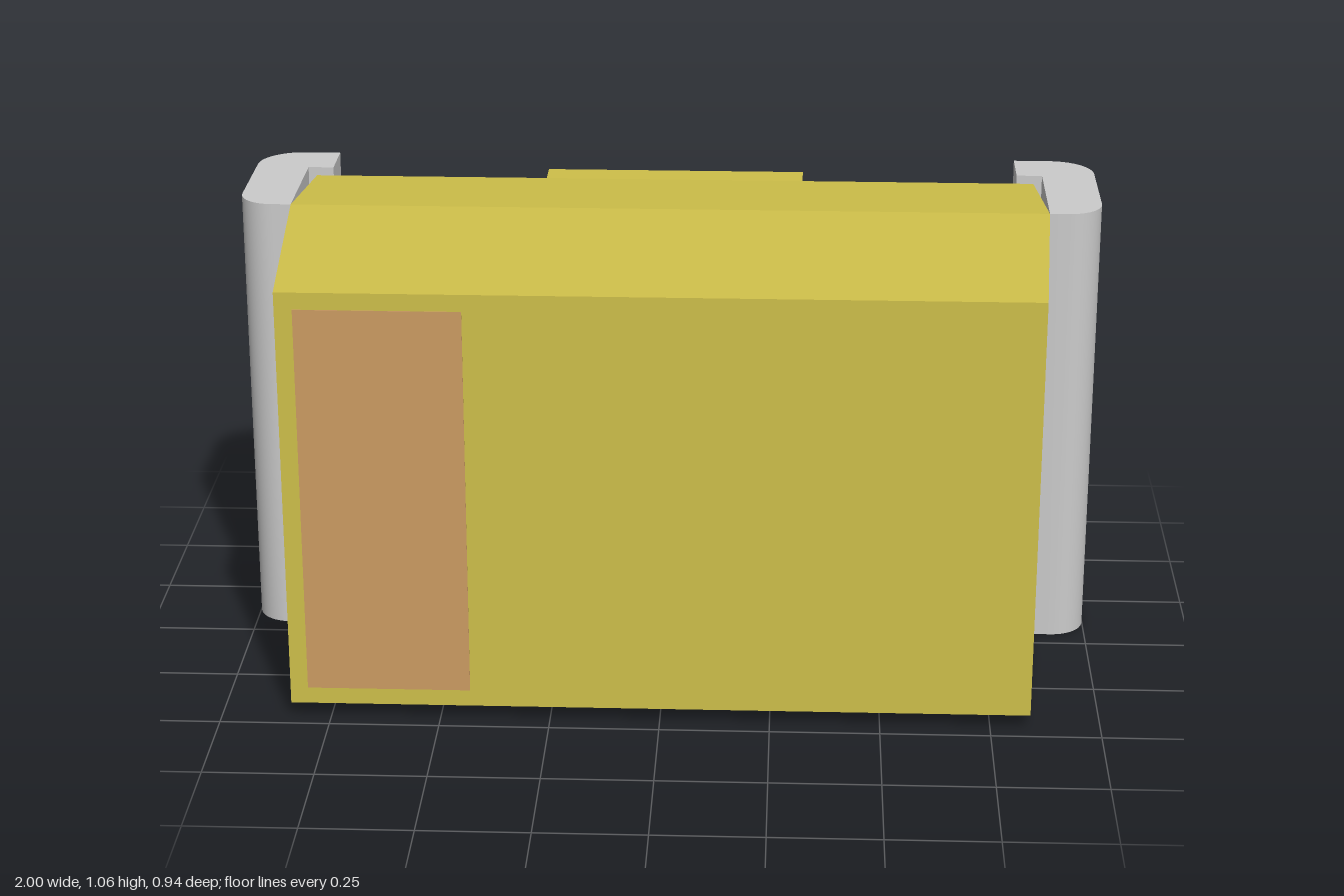
import * as THREE from 'three';
import { toCreasedNormals } from 'three/addons/utils/BufferGeometryUtils.js';

const HEIGHT = 1.06;
const BACK = -0.467, FRONT = 0.467, BODY_BACK = -0.345, SEAM = -0.05;

function addMesh(group, name, geometry, material) {
  const mesh = new THREE.Mesh(geometry, material);
  mesh.name = name;
  group.add(mesh);
  return mesh;
}

// Moulded body: a box with three rectangular rings, widest at the seam.
function bodyGeometry() {
  const rings = [
    { z: BODY_BACK, halfX: 0.855, halfY: HEIGHT / 2 - 0.02 },
    { z: SEAM, halfX: 0.875, halfY: HEIGHT / 2 },
    { z: FRONT, halfX: 0.84, halfY: HEIGHT / 2 - 0.036 },
  ];
  const geometry = new THREE.BoxGeometry(2, 2, 2, 1, 1, 2);
  const p = geometry.attributes.position;
  for (let i = 0; i < p.count; i++) {
    const r = rings[Math.round(p.getZ(i)) + 1];
    p.setXYZ(i, p.getX(i) * r.halfX, HEIGHT / 2 + p.getY(i) * r.halfY, r.z);
  }
  const flat = geometry.toNonIndexed();
  flat.computeVertexNormals();
  return flat;
}

// Folded metal terminal: an L profile with rounded outer corners, run up the full height.
function terminalGeometry(side) {
  const s = new THREE.Shape();
  const x = (v) => side * v;
  const r1 = 0.08, r2 = 0.1, k = 0.448;
  s.moveTo(x(0.875), -SEAM);
  s.lineTo(x(1 - r1), -SEAM);
  s.bezierCurveTo(x(1 - r1 * k), -SEAM, x(1), -SEAM + r1 * k, x(1), -SEAM + r1);
  s.lineTo(x(1), -BACK - r2);
  s.bezierCurveTo(x(1), -BACK - r2 * k, x(1 - r2 * k), -BACK, x(1 - r2), -BACK);
  s.lineTo(x(0.815), -BACK);
  s.lineTo(x(0.815), -BODY_BACK);
  s.lineTo(x(0.875), -BODY_BACK);
  s.closePath();
  const geometry = new THREE.ExtrudeGeometry(s, { depth: HEIGHT, bevelEnabled: false, curveSegments: 10 });
  geometry.rotateX(-Math.PI / 2);
  return toCreasedNormals(geometry, 0.6);
}

export function createModel() {
  const group = new THREE.Group();
  group.name = 'moldedChipCapacitor';
  const resin = new THREE.MeshStandardMaterial({ color: 0xcfc04a });
  const metal = new THREE.MeshStandardMaterial({ color: 0xcccccc });
  const band = new THREE.MeshStandardMaterial({ color: 0xcd9c63 });

  addMesh(group, 'body', bodyGeometry(), resin);

  // Raised pad on the mounting side
  const pad = addMesh(group, 'mountingPad', new THREE.BoxGeometry(0.615, 0.99, BODY_BACK - BACK), resin);
  pad.position.set(0, HEIGHT / 2, (BACK + BODY_BACK) / 2);

  addMesh(group, 'leftTerminal', terminalGeometry(1), metal);
  addMesh(group, 'rightTerminal', terminalGeometry(-1), metal);

  // Polarity band on the front face
  const mark = addMesh(group, 'polarityBand', new THREE.BoxGeometry(0.37, 0.91, 0.004), band);
  mark.position.set(-0.615, HEIGHT / 2, FRONT);

  return group;
}
